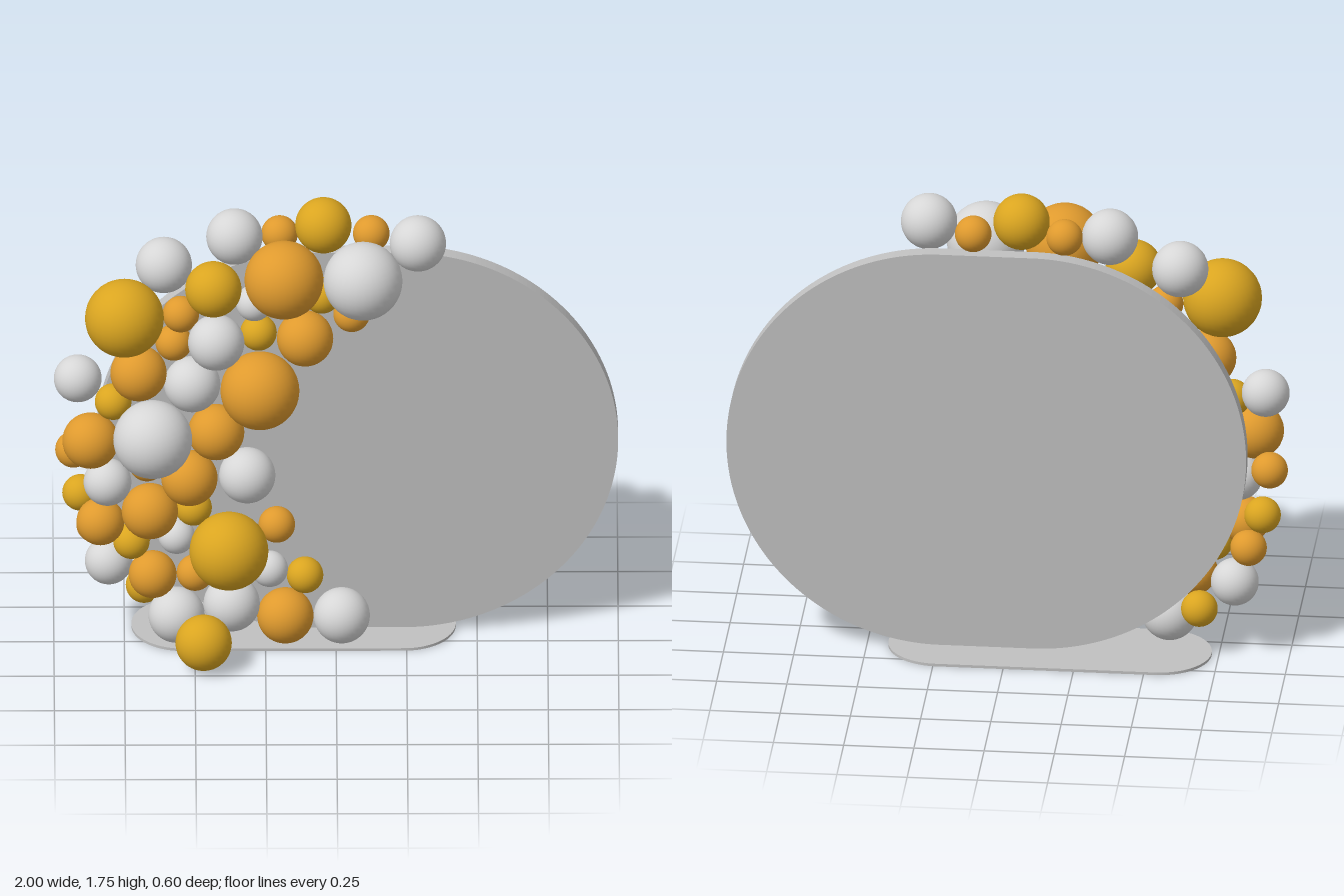
import * as THREE from 'three';

const mat = (name, color) => Object.assign(new THREE.MeshStandardMaterial({ color }), { name });

// Panel: half circles of radius R about (X0, Y) and (X1, Y), front face at FRONT
const X0 = -0.09, X1 = 0.24, Y = 0.77, R = 0.76, FRONT = -0.083;

function pill(x0, x1, y, r) {
  const s = new THREE.Shape();
  s.absarc(x1, y, r, -Math.PI / 2, Math.PI / 2, false);
  s.absarc(x0, y, r, Math.PI / 2, Math.PI * 1.5, false);
  s.closePath();
  return s;
}

// Depth at which a balloon rests on the panel face, rolls over its rim or hangs beside it
function restingZ(x, y, r) {
  const nearest = Math.min(Math.max(x, X0), X1);
  const out = Math.max(0, Math.hypot(x - nearest, y - Y) - R);
  return out < r ? FRONT + Math.sqrt(r * r - out * out) : -0.14 + 0.6 * r;
}

export function createModel() {
  const group = new THREE.Group();
  const grey = mat('panel grey', 0xc0c0c0);
  const silver = mat('silver', 0xd6d6d6);
  const gold = mat('gold', 0xdaa520);
  const amber = mat('amber', 0xdf9a2e);

  const add = (parent, name, geometry, material) => {
    const mesh = new THREE.Mesh(geometry, material);
    mesh.name = name;
    parent.add(mesh);
    return mesh;
  };

  // Upright rounded panel
  const panel = new THREE.ExtrudeGeometry(pill(X0, X1, Y, R),
    { depth: 0.055, bevelEnabled: false, curveSegments: 64 });
  add(group, 'panel', panel, grey).position.z = FRONT - 0.055;

  // Thin foot plate lying on the ground
  const foot = new THREE.ExtrudeGeometry(pill(-0.54, 0.24, 0.115, 0.185),
    { depth: 0.01, bevelEnabled: false, curveSegments: 32 });
  foot.rotateX(-Math.PI / 2);
  add(group, 'footPlate', foot, grey);

  // Balloons of one colour and radius, each at [x, y, optional lift off the panel]
  const ball = new THREE.SphereGeometry(1, 32, 20);
  function balloons(name, material, r, spots) {
    const cluster = new THREE.Group();
    cluster.name = name;
    for (const [x, y, lift = 0] of spots) {
      const mesh = add(cluster, 'balloon', ball, material);
      mesh.position.set(x, y, restingZ(x, y, r) + lift);
      mesh.scale.setScalar(r);
    }
    group.add(cluster);
  }

  balloons('largeSilverBalloons', silver, 0.14, [[0.095, 1.5, 0.01], [-0.65, 0.875, 0.04]]);
  balloons('mediumSilverBalloons', silver, 0.1, [
    [-0.36, 1.6], [0.29, 1.605], [-0.61, 1.485], [-0.425, 1.235, 0.02], [-0.51, 1.055],
    [-0.315, 0.69, 0.01], [-0.565, 0.11], [-0.37, 0.17, 0.01], [0.02, 0.115],
  ]);
  balloons('smallSilverBalloons', silver, 0.085, [[-0.915, 1.02], [-0.81, 0.65], [-0.805, 0.28]]);
  balloons('tinySilverBalloons', silver, 0.065, [[-0.29, 1.365], [-0.565, 0.42], [-0.235, 0.285]]);

  balloons('largeGoldBalloons', gold, 0.14, [[-0.75, 1.33, 0.02], [-0.38, 0.41, 0.02]]);
  balloons('mediumGoldBalloons', gold, 0.1, [[-0.045, 1.645], [-0.435, 1.44], [-0.47, 0.105, 0.18]]);
  balloons('tinyGoldBalloons', gold, 0.065, [
    [-0.05, 1.395], [-0.275, 1.245], [-0.79, 0.965], [-0.905, 0.55],
    [-0.505, 0.535], [-0.725, 0.4], [-0.11, 0.26], [-0.68, 0.175],
  ]);

  balloons('largeAmberBalloons', amber, 0.14, [[-0.185, 1.505, 0.01], [-0.27, 1.05]]);
  balloons('mediumAmberBalloons', amber, 0.1, [
    [-0.11, 1.24], [-0.7, 1.1], [-0.425, 0.86], [-0.87, 0.825],
    [-0.52, 0.685, 0.02], [-0.66, 0.545, 0.01], [-0.18, 0.115],
  ]);
  balloons('smallAmberBalloons', amber, 0.085, [[-0.835, 0.485], [-0.65, 0.275]]);
  balloons('tinyAmberBalloons', amber, 0.065, [
    [0.125, 1.6], [-0.2, 1.6], [0.055, 1.32], [-0.55, 1.32], [-0.575, 1.205],
    [-0.93, 0.725], [-0.67, 0.715], [-0.855, 0.42], [-0.21, 0.465], [-0.5, 0.27],
  ]);
  return group;
}
